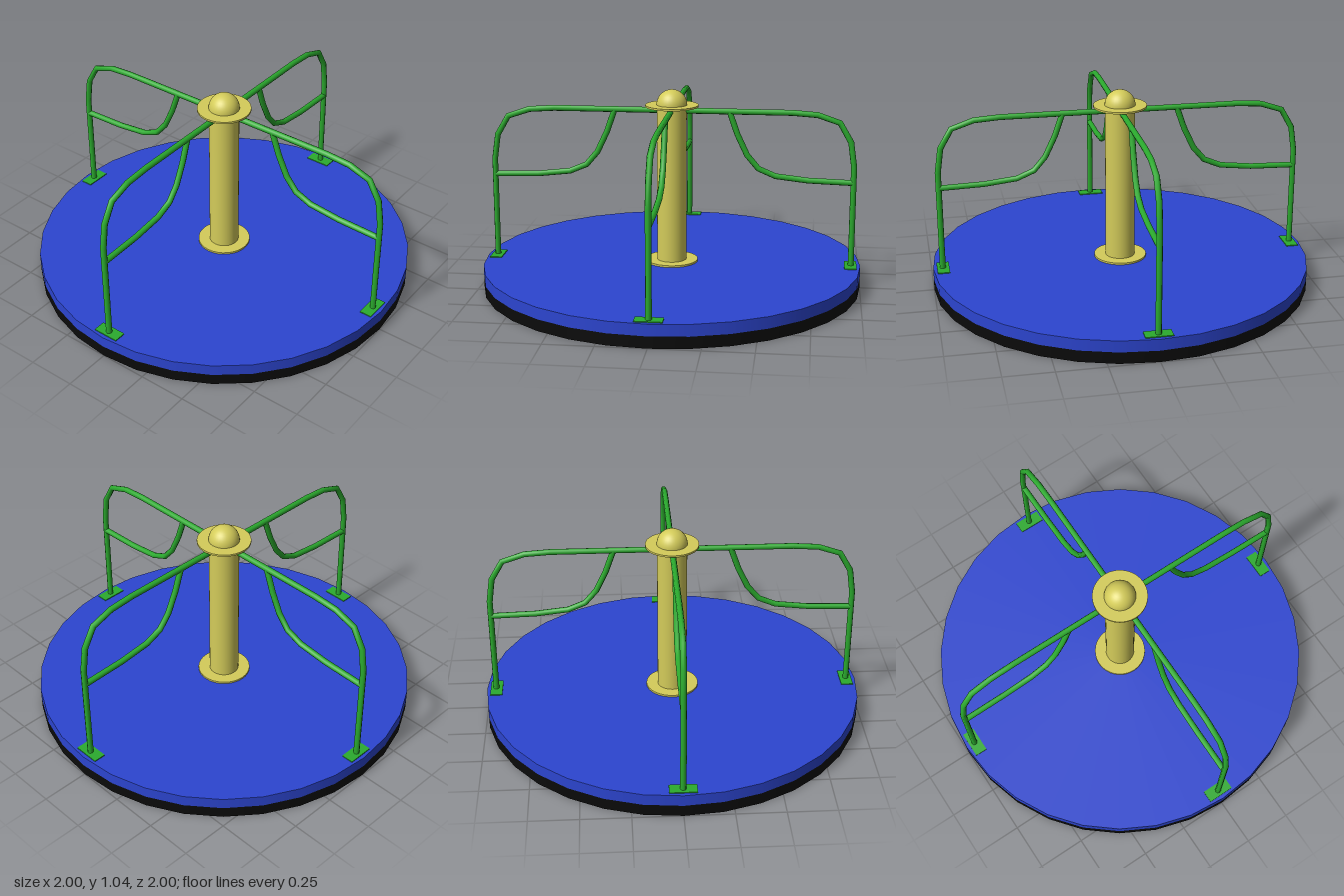
import * as THREE from 'three';

const mat = (name, color) => {
  const m = new THREE.MeshStandardMaterial({ color });
  m.name = name;
  return m;
};

// Curve through the given points in the xy plane, with straight runs and mitred bends
class BentPath extends THREE.Curve {
  constructor(points) {
    super();
    this.pts = points.map(([x, y]) => new THREE.Vector3(x, y, 0));
  }
  getPoint(t, target = new THREE.Vector3()) {
    const n = this.pts.length - 1;
    const i = Math.min(Math.floor(t * n + 1e-6), n - 1);
    return target.lerpVectors(this.pts[i], this.pts[i + 1], t * n - i);
  }
  getPointAt(u, target) {
    return this.getPoint(u, target);
  }
  getTangentAt(u, target = new THREE.Vector3()) {
    const n = this.pts.length - 1;
    const i = Math.round(u * n);
    const dir = (a, b) => this.pts[b].clone().sub(this.pts[a]).normalize();
    target.set(0, 0, 0);
    if (i > 0) target.add(dir(i - 1, i));
    if (i < n) target.add(dir(i, i + 1));
    return target.normalize();
  }
}

const pipe = (points, radius) =>
  new THREE.TubeGeometry(new BentPath(points), points.length - 1, radius, 8, false);

export function createModel() {
  const group = new THREE.Group();
  group.name = 'merryGoRound';

  const blue = mat('deckBlue', 0x2c45d0);
  const black = mat('baseBlack', 0x0a0a0a);
  const yellow = mat('postYellow', 0xd4cc5a);
  const green = mat('railGreen', 0x2bab2e);

  const add = (parent, name, geometry, material, x = 0, y = 0, z = 0) => {
    const mesh = new THREE.Mesh(geometry, material);
    mesh.name = name;
    mesh.position.set(x, y, z);
    parent.add(mesh);
    return mesh;
  };
  const disc = (r, h, sides = 32) => new THREE.CylinderGeometry(r, r, h, sides);

  // Round platform
  add(group, 'base', disc(1, 0.06), black, 0, 0.03);
  add(group, 'deck', disc(1, 0.06), blue, 0, 0.09);

  // Centre post with flanges and domed cap
  add(group, 'centrePost', disc(0.078, 0.84), yellow, 0, 0.54);
  add(group, 'lowerFlange', disc(0.139, 0.01), yellow, 0, 0.125);
  add(group, 'upperFlange', disc(0.139, 0.01), yellow, 0, 0.959);
  add(group, 'domeCap',
    new THREE.SphereGeometry(0.08, 32, 10, 0, Math.PI * 2, 0, Math.PI / 2), yellow, 0, 0.964);

  // Four handrails, each with a curved brace and a foot plate
  const rail = pipe([
    [0.95, 0.12], [0.95, 0.655], [0.931, 0.785], [0.872, 0.886],
    [0.757, 0.925], [0.625, 0.934], [0.04, 0.934],
  ], 0.0155);
  const brace = pipe([
    [0.302, 0.932], [0.343, 0.815], [0.395, 0.705], [0.455, 0.634],
    [0.545, 0.596], [0.715, 0.577], [0.95, 0.57],
  ], 0.0155);
  const foot = new THREE.BoxGeometry(0.064, 0.006, 0.138);
  for (let i = 0; i < 4; i++) {
    const arm = new THREE.Group();
    arm.name = `handrail${i + 1}`;
    arm.rotation.y = (i * Math.PI) / 2;
    add(arm, 'rail', rail, green);
    add(arm, 'brace', brace, green);
    add(arm, 'footPlate', foot, green, 0.948, 0.122);
    group.add(arm);
  }
  return group;
}
